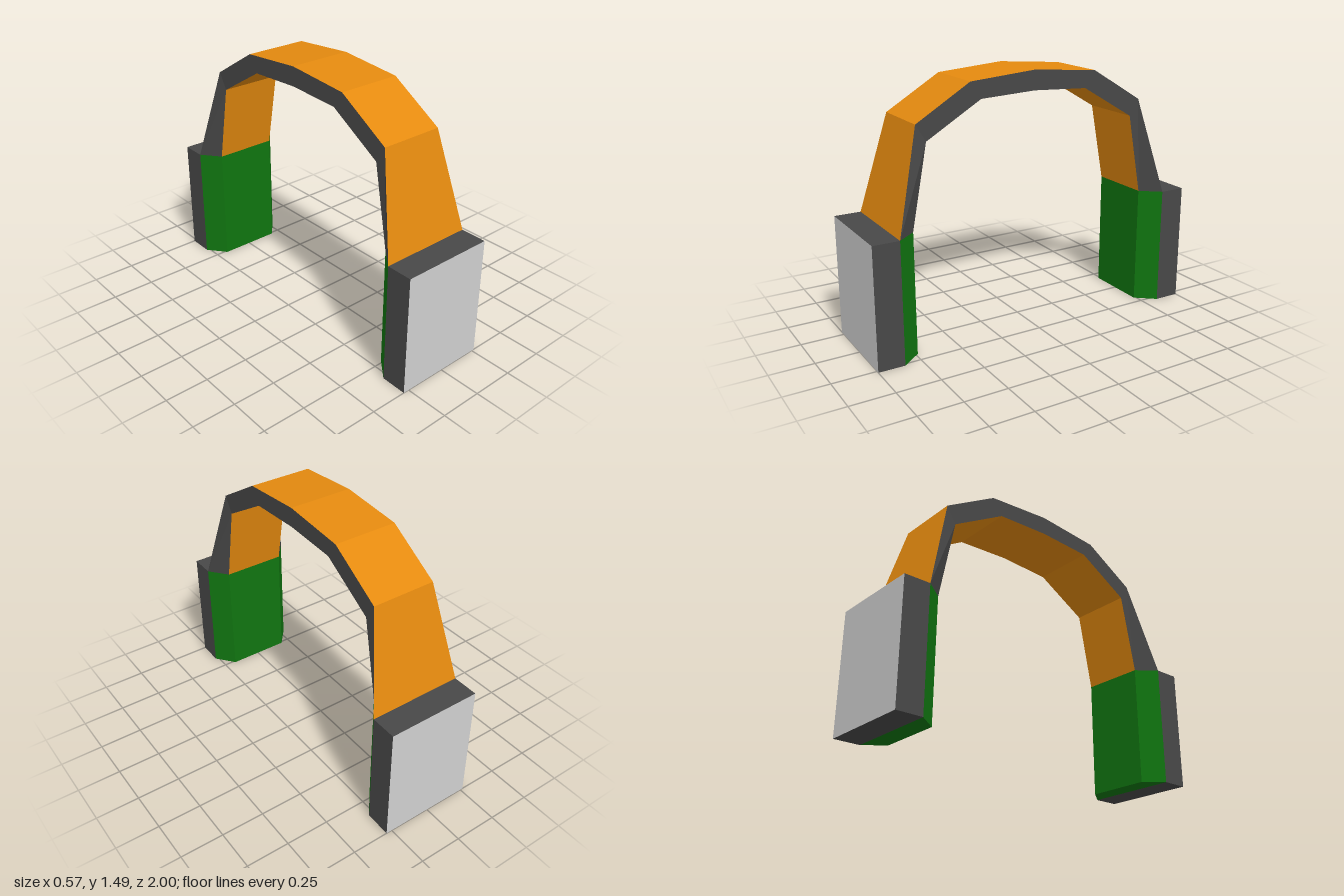
import * as THREE from 'three';

const SKEW = 0.009; // slight twist: x drifts as z changes
const WIDE = 0.276, NARROW = 0.187; // half widths
const CUP_TOP = 0.7;

function material(name, color) {
  const m = new THREE.MeshStandardMaterial({ color });
  m.name = name;
  return m;
}

// Applies the slight sideways skew to every vertex
function skew(geometry) {
  const p = geometry.attributes.position;
  for (let i = 0; i < p.count; i++) p.setX(i, p.getX(i) - SKEW * p.getZ(i));
  return geometry;
}

// Flat-faced mesh from a list of four-cornered faces
function quadMesh(name, mat, quads) {
  const points = quads.flatMap(([a, b, c, d]) => [a, b, c, a, c, d]);
  const geometry = new THREE.BufferGeometry();
  geometry.setAttribute('position', new THREE.Float32BufferAttribute(points.flat(), 3));
  skew(geometry).computeVertexNormals();
  const mesh = new THREE.Mesh(geometry, mat);
  mesh.name = name;
  return mesh;
}

export function createModel() {
  const orange = material('orange band', 0xe58a0f);
  const dark = material('dark grey', 0x484848);
  const light = material('light grey', 0xd0d0d0);
  const green = material('green cushion', 0x107510);

  const model = new THREE.Group();
  model.name = 'headset';

  // Headband: outer and inner [z, y] profiles, front half mirrored to the back
  const mirror = (half) => [...half, ...half.slice(0, -1).reverse().map(([z, y]) => [-z, y])];
  const outer = mirror([[0.848, CUP_TOP], [0.705, 1.265], [0.39, 1.456], [0, 1.488]]);
  const inner = mirror([[0.737, CUP_TOP], [0.648, 1.17], [0.328, 1.36], [0, 1.376]]);
  const last = outer.length - 1;
  const O = (i, side) => [side * (i === 0 || i === last ? WIDE : NARROW), outer[i][1], outer[i][0]];
  const I = (i, side) => [side * NARROW, inner[i][1], inner[i][0]];

  const outside = [], inside = [], edges = [];
  for (let i = 0; i < last; i++) {
    const j = i + 1;
    outside.push([O(i, -1), O(i, 1), O(j, 1), O(j, -1)]);
    inside.push([I(i, 1), I(i, -1), I(j, -1), I(j, 1)]);
    edges.push([O(i, 1), I(i, 1), I(j, 1), O(j, 1)]);
    edges.push([O(j, -1), I(j, -1), I(i, -1), O(i, -1)]);
  }
  const band = new THREE.Group();
  band.name = 'headband';
  band.add(
    quadMesh('bandOutside', orange, outside),
    quadMesh('bandInside', orange, inside),
    quadMesh('bandEdges', dark, edges),
  );
  model.add(band);

  // Ear cup shell: dark block with a light outer face
  const shell = new THREE.BoxGeometry(WIDE * 2, CUP_TOP, 0.152);
  shell.translate(0, CUP_TOP / 2, 0.924);
  skew(shell);

  // Cushion: block narrowing towards the inside
  const cushion = new THREE.BoxGeometry(WIDE * 2, CUP_TOP, 0.111).toNonIndexed();
  cushion.translate(0, CUP_TOP / 2, 0.7925);
  const p = cushion.attributes.position;
  for (let i = 0; i < p.count; i++) {
    if (p.getZ(i) < 0.79) p.setX(i, Math.sign(p.getX(i)) * NARROW);
  }
  skew(cushion).computeVertexNormals();

  // The same cup at each end of the band
  ['frontCup', 'backCup'].forEach((name, n) => {
    const cup = new THREE.Group();
    cup.name = name;
    const shellMesh = new THREE.Mesh(shell, [dark, dark, dark, dark, light, dark]);
    shellMesh.name = 'shell';
    const cushionMesh = new THREE.Mesh(cushion, green);
    cushionMesh.name = 'cushion';
    cup.add(shellMesh, cushionMesh);
    cup.rotation.y = n * Math.PI;
    model.add(cup);
  });

  return model;
}
